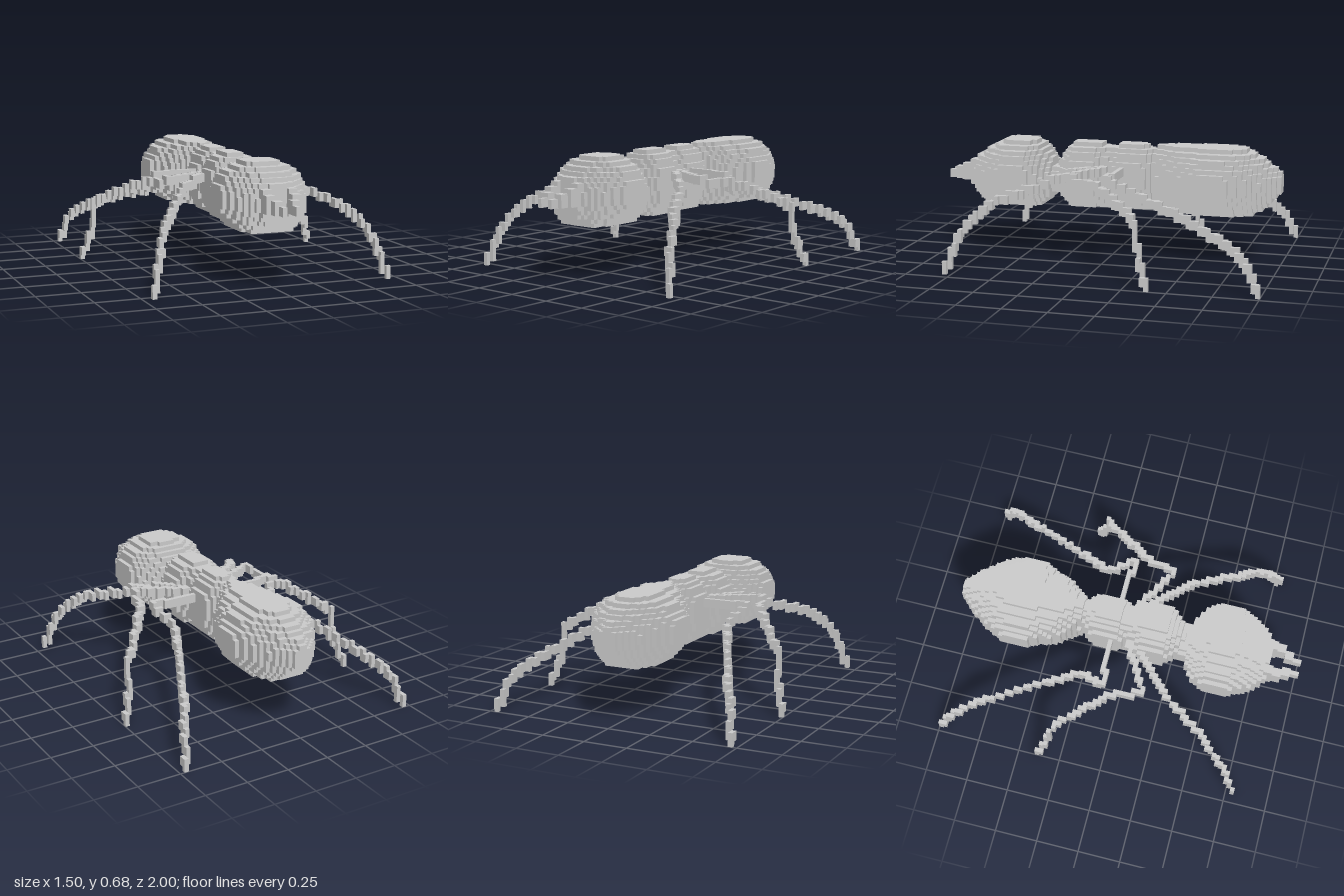
import * as THREE from 'three';

const S = 0.025; // voxel edge
const material = new THREE.MeshStandardMaterial({ color: 0xcccccc, flatShading: true });

// Set of filled cells, drawn as the outer faces of its cubes
class Voxels {
  constructor() { this.cells = new Map(); }
  add(i, j, k) { this.cells.set(`${i},${j},${k}`, [i, j, k]); }
  has(c) { return this.cells.has(c.join(',')); }
  mesh(name) {
    const pos = [];
    for (const c of this.cells.values()) {
      for (let d = 0; d < 3; d++) {
        for (const side of [1, -1]) {
          const next = [...c];
          next[d] += side;
          if (this.has(next)) continue;
          const u = (d + 1) % 3, v = (d + 2) % 3;
          const q = [[0, 0], [1, 0], [1, 1], [0, 1]].map(([a, b]) => {
            const p = [...c];
            p[d] += side > 0 ? 1 : 0;
            p[u] += a;
            p[v] += b;
            return p.map(n => n * S);
          });
          if (side < 0) q.reverse();
          for (const n of [0, 1, 2, 0, 2, 3]) pos.push(...q[n]);
        }
      }
    }
    const geo = new THREE.BufferGeometry();
    geo.setAttribute('position', new THREE.Float32BufferAttribute(pos, 3));
    geo.computeVertexNormals();
    const mesh = new THREE.Mesh(geo, material);
    mesh.name = name;
    return mesh;
  }
}

// Rounded body with a flattened belly, from stations [z, half width, bottom, top], z falling
function body(name, stations) {
  const vox = new Voxels();
  const last = stations.length - 1;
  for (let k = -40; k < 40; k++) {
    const z = (k + 0.5) * S;
    if (z > stations[0][0] || z < stations[last][0]) continue;
    const n = stations.findIndex((s, m) => m > 0 && z >= s[0]);
    const a = stations[n - 1], b = stations[n];
    const t = (a[0] - z) / (a[0] - b[0]);
    const [w, lo, hi] = [1, 2, 3].map(m => a[m] + (b[m] - a[m]) * t);
    const cy = (lo + hi) / 2;
    for (let j = Math.round(lo / S); j < Math.round(hi / S); j++) {
      const dy = (j + 0.5) * S - cy;
      const ry = (hi - lo) / 2 + (dy < 0 ? 0.03 : 0.002);
      const half = Math.max(1, Math.round(w * Math.sqrt(Math.max(0, 1 - (dy / ry) ** 2)) / S));
      for (let i = -half; i < half; i++) vox.add(i, j, k);
    }
  }
  return vox.mesh(name);
}

// Thin limb, two cells tall, stepped along a path of [x, y, z]
function limb(name, points, side) {
  const vox = new Voxels();
  for (let n = 1; n < points.length; n++) {
    const a = new THREE.Vector3(...points[n - 1]);
    const b = new THREE.Vector3(...points[n]);
    const steps = Math.ceil(a.distanceTo(b) / 0.006);
    for (let m = 0; m <= steps; m++) {
      const p = a.clone().lerp(b, m / steps);
      const i = Math.floor(p.x / S), j = Math.round(p.y / S), k = Math.floor(p.z / S);
      for (const dy of [-1, 0]) vox.add(side > 0 ? i : -1 - i, Math.max(0, j + dy), k);
    }
  }
  return vox.mesh(name);
}

// Jaw tapering to the front, from boxes of cells [x0, x1, y0, y1, z0, z1]
function jaw(name, side) {
  const vox = new Voxels();
  const boxes = [
    [2, 4, 16, 22, 31, 34], [2, 4, 17, 21, 34, 36],
    [1, 3, 17, 20, 36, 38], [1, 2, 17, 19, 38, 40],
  ];
  for (const [x0, x1, y0, y1, z0, z1] of boxes)
    for (let i = x0; i < x1; i++)
      for (let j = y0; j < y1; j++)
        for (let k = z0; k < z1; k++) vox.add(side > 0 ? i : -1 - i, j, k);
  return vox.mesh(name);
}

export function createModel() {
  const group = new THREE.Group();

  group.add(body('head', [
    [0.826, 0.10, 0.37, 0.56], [0.78, 0.16, 0.34, 0.59], [0.73, 0.20, 0.30, 0.63],
    [0.66, 0.235, 0.30, 0.66], [0.62, 0.255, 0.30, 0.675], [0.48, 0.255, 0.30, 0.675],
    [0.42, 0.225, 0.30, 0.64], [0.37, 0.17, 0.34, 0.58], [0.34, 0.10, 0.36, 0.54],
  ]));
  group.add(body('neck', [[0.36, 0.10, 0.375, 0.53], [0.24, 0.10, 0.375, 0.55]]));
  group.add(body('thorax', [
    [0.29, 0.10, 0.36, 0.59], [0.25, 0.13, 0.32, 0.65], [0.22, 0.155, 0.30, 0.675],
    [0.08, 0.155, 0.30, 0.675], [0.03, 0.12, 0.30, 0.66], [-0.02, 0.11, 0.30, 0.65],
    [-0.06, 0.13, 0.30, 0.675], [-0.20, 0.13, 0.30, 0.675], [-0.25, 0.09, 0.34, 0.65],
  ]));
  group.add(body('waist', [[-0.22, 0.075, 0.36, 0.65], [-0.30, 0.075, 0.36, 0.65]]));
  group.add(body('abdomen', [
    [-0.276, 0.08, 0.32, 0.665], [-0.34, 0.125, 0.30, 0.675], [-0.40, 0.18, 0.30, 0.675],
    [-0.50, 0.215, 0.30, 0.675], [-0.56, 0.25, 0.30, 0.675], [-0.70, 0.25, 0.30, 0.675],
    [-0.78, 0.215, 0.30, 0.67], [-0.85, 0.17, 0.31, 0.64], [-0.92, 0.115, 0.35, 0.60],
    [-0.97, 0.065, 0.40, 0.56], [-1, 0.03, 0.44, 0.53],
  ]));

  // Legs and jaws, mirrored across x
  const legs = {
    FrontLeg: [[0.08, 0.52, 0.01], [0.30, 0.51, 0.24], [0.38, 0.46, 0.33], [0.50, 0.40, 0.53],
      [0.585, 0.32, 0.64], [0.61, 0.27, 0.68], [0.64, 0.20, 0.725], [0.655, 0.12, 0.75],
      [0.665, 0.06, 0.765], [0.69, 0.025, 0.79]],
    MiddleLeg: [[0.08, 0.52, 0.0], [0.16, 0.52, 0.04], [0.37, 0.52, 0.16], [0.41, 0.51, 0.11],
      [0.43, 0.50, -0.02], [0.50, 0.465, -0.10], [0.58, 0.42, -0.20], [0.64, 0.375, -0.27],
      [0.69, 0.34, -0.31], [0.69, 0.20, -0.33], [0.71, 0.10, -0.355], [0.74, 0.025, -0.39]],
    RearLeg: [[0.08, 0.52, -0.09], [0.38, 0.52, -0.07], [0.38, 0.50, -0.10], [0.33, 0.45, -0.19],
      [0.34, 0.42, -0.25], [0.46, 0.36, -0.50], [0.54, 0.30, -0.66], [0.61, 0.25, -0.80],
      [0.67, 0.18, -0.90], [0.695, 0.10, -0.95], [0.70, 0.05, -0.965], [0.715, 0.025, -0.99]],
  };
  for (const [label, side] of [['left', 1], ['right', -1]]) {
    for (const [name, path] of Object.entries(legs)) group.add(limb(label + name, path, side));
    group.add(jaw(label + 'Jaw', side));
  }
  return group;
}
